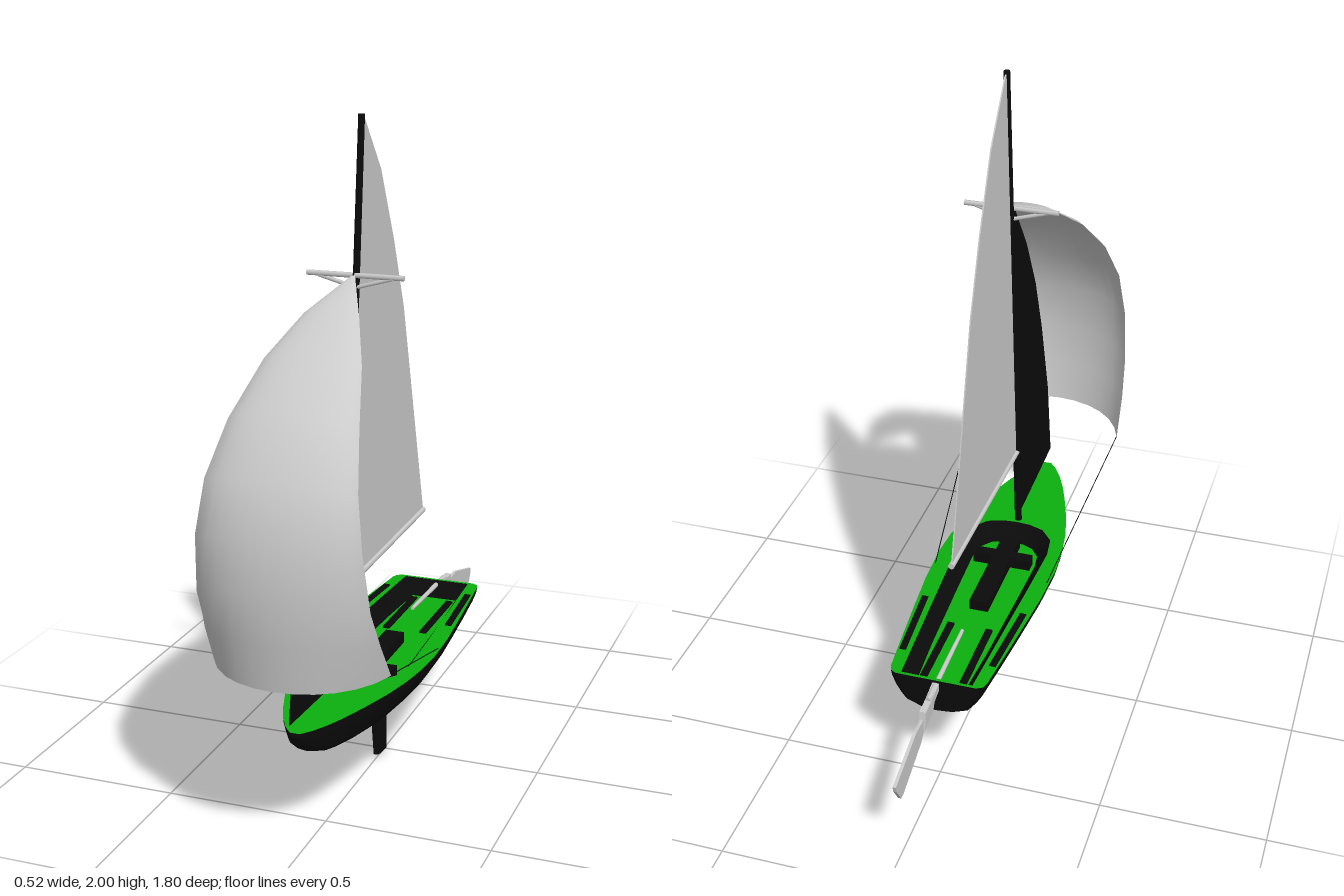
import * as THREE from 'three';

const mat = (color) => new THREE.MeshStandardMaterial({ color, side: THREE.DoubleSide });
const V = (x, y, z) => new THREE.Vector3(x, y, z);

export function createModel() {
  const model = new THREE.Group();
  const black = mat(0x0b0b0b), green = mat(0x0cb010), grey = mat(0xcccccc);

  const add = (name, geometry, material, parent = model) => {
    const mesh = new THREE.Mesh(geometry, material);
    mesh.name = name;
    parent.add(mesh);
    return mesh;
  };

  // Skin over rows of points [x, y, z]
  const loft = (rows) => {
    const n = rows[0].length, index = [];
    for (let i = 0; i < rows.length - 1; i++) {
      for (let j = 0; j < n - 1; j++) {
        const a = i * n + j, b = a + n;
        index.push(a, b, a + 1, b, b + 1, a + 1);
      }
    }
    const g = new THREE.BufferGeometry();
    g.setAttribute('position', new THREE.Float32BufferAttribute(rows.flat(2), 3));
    g.setIndex(index);
    g.computeVertexNormals();
    return g;
  };

  // Upright plate from [z, y] outline, centred on x = 0
  const plate = (points, thickness) => {
    const shape = new THREE.Shape(points.map(([z, y]) => new THREE.Vector2(-z, y)));
    const g = new THREE.ExtrudeGeometry(shape, { depth: thickness, bevelEnabled: false });
    return g.translate(0, 0, -thickness / 2).rotateY(Math.PI / 2);
  };

  // Horizontal sheet from [x, z] outline
  const planShape = (points) => new THREE.Shape(points.map(([x, z]) => new THREE.Vector2(x, -z)));
  const sheet = (shape, y) => new THREE.ShapeGeometry(shape).rotateX(-Math.PI / 2).translate(0, y, 0);

  // Straight spar between two points
  const spar = (name, a, b, r0, r1, material, sides = 8) => {
    const g = new THREE.CylinderGeometry(r1, r0, a.distanceTo(b), sides);
    const mesh = add(name, g, material);
    mesh.position.copy(a).lerp(b, 0.5);
    mesh.quaternion.setFromUnitVectors(V(0, 1, 0), b.clone().sub(a).normalize());
    return mesh;
  };

  const block = (name, w, h, d, x, y, z, material) => {
    const mesh = add(name, new THREE.BoxGeometry(w, h, d), material);
    mesh.position.set(x, y, z);
    return mesh;
  };

  // Hull stations: z, half beam, bottom height
  const deckY = 0.38;
  const stations = [
    [0.72, 0.015, 0.365], [0.69, 0.04, 0.325], [0.64, 0.068, 0.29], [0.58, 0.094, 0.265],
    [0.5, 0.122, 0.254], [0.4, 0.153, 0.248], [0.3, 0.176, 0.244], [0.2, 0.19, 0.241],
    [0.1, 0.196, 0.24], [-0.05, 0.191, 0.24], [-0.2, 0.178, 0.242], [-0.35, 0.164, 0.247],
    [-0.5, 0.149, 0.257], [-0.52, 0.142, 0.261], [-0.53, 0.125, 0.268],
  ];
  const section = (fractions) => stations.map(([z, b, low]) =>
    fractions.map(([w, f]) => [b * w, low + (deckY - low) * f, z]));
  const side = [[1, 1], [0.98, 0.85], [0.9, 0.6], [0.78, 0.35], [0.67, 0.18]];
  const half = [[0.67, 0.18], [0.36, 0.04], [0, 0]];
  const mirrored = (list) => list.map(([w, f]) => [-w, f]);
  const under = section([...half, ...mirrored(half).reverse().slice(1)]);

  add('leftTopside', loft(section(side)), black);
  add('rightTopside', loft(section(mirrored(side))), black);
  add('bowUnderside', loft(under.slice(0, 4)), black);
  add('hullBottom', loft(under.slice(3, -2)), green);
  add('sternUnderside', loft(under.slice(-3)), black);

  // Transom and bow caps
  const ring = [...side, ...half.slice(1), ...mirrored(half).reverse().slice(1), ...mirrored(side).reverse().slice(1)];
  const rings = section(ring);
  [['stem', rings[0]], ['transom', rings[rings.length - 1]]].forEach(([name, pts]) => {
    const shape = new THREE.Shape(pts.map(([x, y]) => new THREE.Vector2(x, y)));
    add(name, new THREE.ShapeGeometry(shape).translate(0, 0, pts[0][2]), black);
  });

  // Deck with cockpit well
  const symmetric = (pts) => [...pts, ...pts.filter(([x]) => x > 0).reverse().map(([x, z]) => [-x, z])];
  const rim = symmetric([[0.11, -0.52], [0.122, -0.3], [0.138, 0], [0.146, 0.18], [0.135, 0.26], [0.095, 0.31], [0.045, 0.328], [0, 0.332]]);
  const floor = symmetric([[0.075, -0.495], [0.088, -0.3], [0.1, 0], [0.106, 0.18], [0.098, 0.235], [0.07, 0.272], [0.035, 0.287], [0, 0.29]]);
  const floorY = 0.325;
  const deck = planShape(symmetric(stations.map(([z, b]) => [b, z])));
  deck.holes.push(planShape(rim));
  add('deck', sheet(deck, deckY), green);
  add('cockpitFloor', sheet(planShape(floor), floorY), green);
  const loop = (pts, y) => [...pts, pts[0]].map(([x, z]) => [x, y, z]);
  add('cockpitWall', loft([loop(rim, deckY), loop(floor, floorY)]), black);

  // Grip strips on the floor and the side decks
  for (const s of [-1, 1]) {
    block('floorStrip', 0.022, 0.006, 0.28, s * 0.062, floorY + 0.003, -0.33, black);
    block('sideDeckStrip', 0.02, 0.006, 0.27, s * 0.15, deckY + 0.001, -0.285, black).rotation.y = s * 0.07;
  }

  // Centreboard case, thwart and mast step
  block('centreboardCase', 0.06, 0.035, 0.3, 0, floorY + 0.0175, 0.05, black);
  block('thwart', 0.19, 0.035, 0.04, 0, floorY + 0.0175, 0.17, black);
  block('mastStep', 0.06, 0.035, 0.07, 0, floorY + 0.0175, 0.235, black);
  add('centreboard', plate([[0.12, 0.26], [0.08, 0.015], [0.06, 0.008], [-0.005, 0], [-0.005, 0.26]], 0.012), black);

  // Rudder and tiller
  add('rudderHead', plate([[-0.525, 0.372], [-0.6, 0.36], [-0.65, 0.358], [-0.66, 0.3], [-0.585, 0.31], [-0.57, 0.335], [-0.525, 0.345]], 0.02), grey);
  add('rudderBlade', plate([[-0.62, 0.325], [-0.66, 0.335], [-0.72, 0.34], [-0.9, 0.29], [-0.895, 0.27], [-0.86, 0.215], [-0.84, 0.215], [-0.68, 0.27]], 0.01), grey);
  spar('tiller', V(0, 0.362, -0.6), V(0, 0.372, -0.27), 0.009, 0.006, grey);

  // Mast, boom and spreaders
  spar('mast', V(0, 0.38, 0.352), V(0, 2, 0.182), 0.012, 0.01, black);
  spar('boom', V(0, 0.664, 0.325), V(0, 0.68, -0.37), 0.011, 0.01, grey);
  spar('spreaderBar', V(-0.145, 1.56, 0.238), V(0.145, 1.56, 0.238), 0.008, 0.008, grey, 6);
  for (const s of [-1, 1]) {
    spar('spreaderStrut', V(0, 1.525, 0.235), V(s * 0.11, 1.556, 0.238), 0.006, 0.006, grey, 6);
  }

  // Flat sails
  add('mainsail', plate([[0.18, 1.995], [0.165, 1.99], [0.03, 1.83], [-0.08, 1.61], [-0.17, 1.39], [-0.27, 1.03], [-0.365, 0.685], [0.31, 0.675]], 0.004), grey);
  add('jib', plate([[0.25, 1.57], [0.41, 1.365], [0.52, 1.18], [0.605, 0.98], [0.7, 0.7], [0.755, 0.42], [0.36, 0.4], [0.245, 1.48]], 0.004), black);

  // Spinnaker: [half width, centre y, centre z, edge y, edge z]
  const bands = [
    [0.004, 1.565, 0.25, 1.562, 0.25], [0.08, 1.5, 0.42, 1.485, 0.42], [0.14, 1.41, 0.57, 1.385, 0.56],
    [0.185, 1.29, 0.73, 1.25, 0.7], [0.215, 1.13, 0.84, 1.11, 0.79], [0.235, 0.99, 0.885, 0.96, 0.815],
    [0.248, 0.84, 0.9, 0.79, 0.79], [0.255, 0.7, 0.885, 0.68, 0.735], [0.258, 0.565, 0.865, 0.565, 0.66],
  ];
  const steps = 12;
  add('spinnaker', loft(bands.map(([w, cy, cz, ey, ez]) =>
    Array.from({ length: steps + 1 }, (_, i) => {
      const t = (i / steps) * 2 - 1;
      return [w * Math.sin(t * 1.25) / Math.sin(1.25), cy + (ey - cy) * t * t, cz + (ez - cz) * t * t];
    }))), grey);

  // Sheets from the spinnaker corners to the side decks
  for (const s of [-1, 1]) {
    spar('spinnakerSheet', V(s * 0.257, 0.567, 0.66), V(s * 0.186, 0.38, 0.03), 0.0015, 0.0015, black, 4);
  }
  return model;
}
